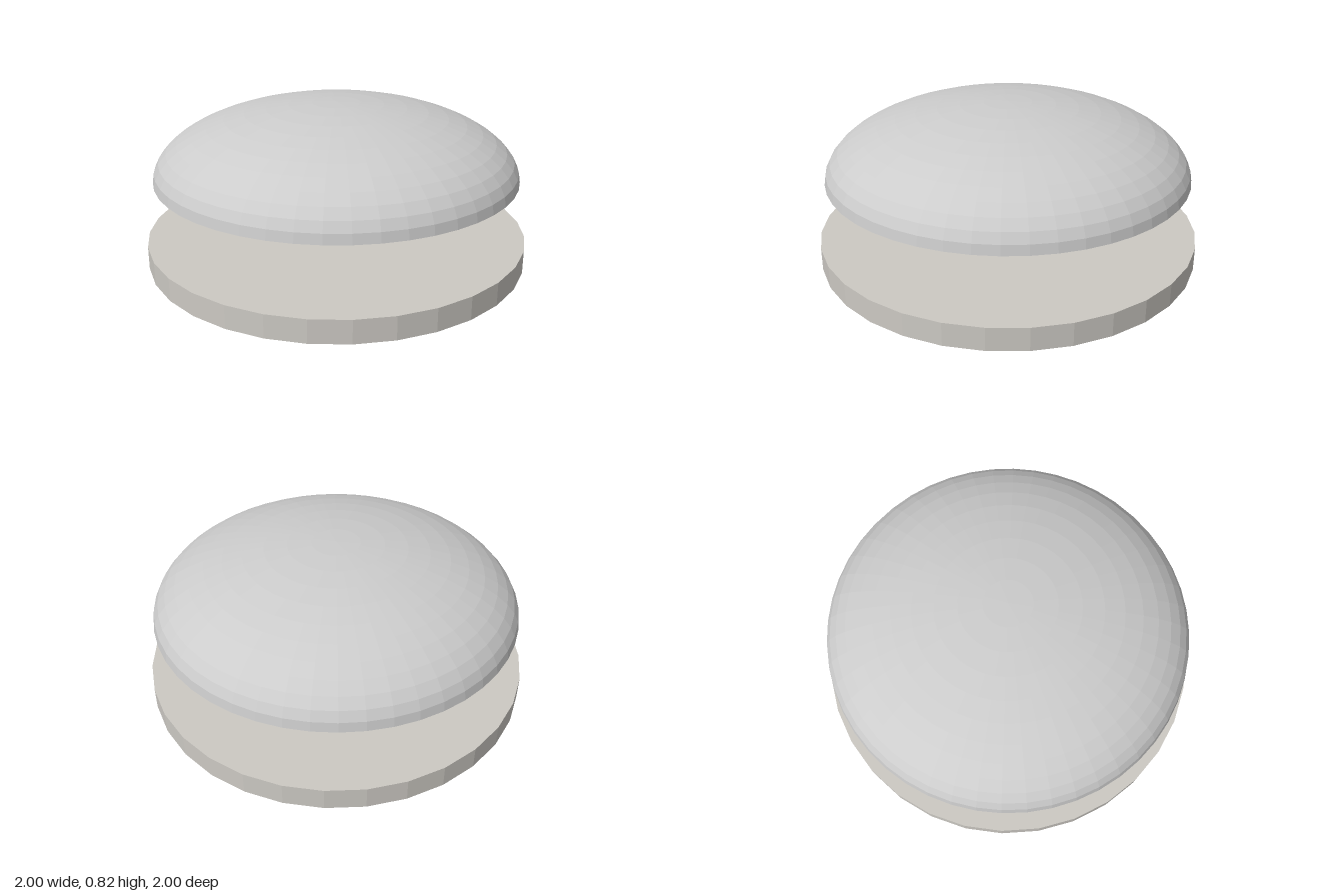
import * as THREE from 'three';

export function createModel() {
  const model = new THREE.Group();

  // Flat round base plate
  const baseHeight = 0.12;
  const base = new THREE.Mesh(
    new THREE.CylinderGeometry(1, 1, baseHeight, 32),
    new THREE.MeshStandardMaterial({ color: 0xccc9c3, flatShading: true })
  );
  base.name = 'basePlate';
  base.position.y = baseHeight / 2;
  model.add(base);

  // Floating dome: a squashed hemisphere shell, open underneath
  const domeRadius = 0.95;
  const domeHeight = 0.375;
  const domeGeometry = new THREE.SphereGeometry(1, 48, 12, 0, Math.PI * 2, 0, Math.PI / 2);
  domeGeometry.scale(domeRadius, domeHeight, domeRadius);
  const dome = new THREE.Mesh(
    domeGeometry,
    new THREE.MeshStandardMaterial({ color: 0xcccccc, flatShading: true, side: THREE.DoubleSide })
  );
  dome.name = 'dome';
  dome.position.y = 0.445;
  model.add(dome);

  return model;
}
